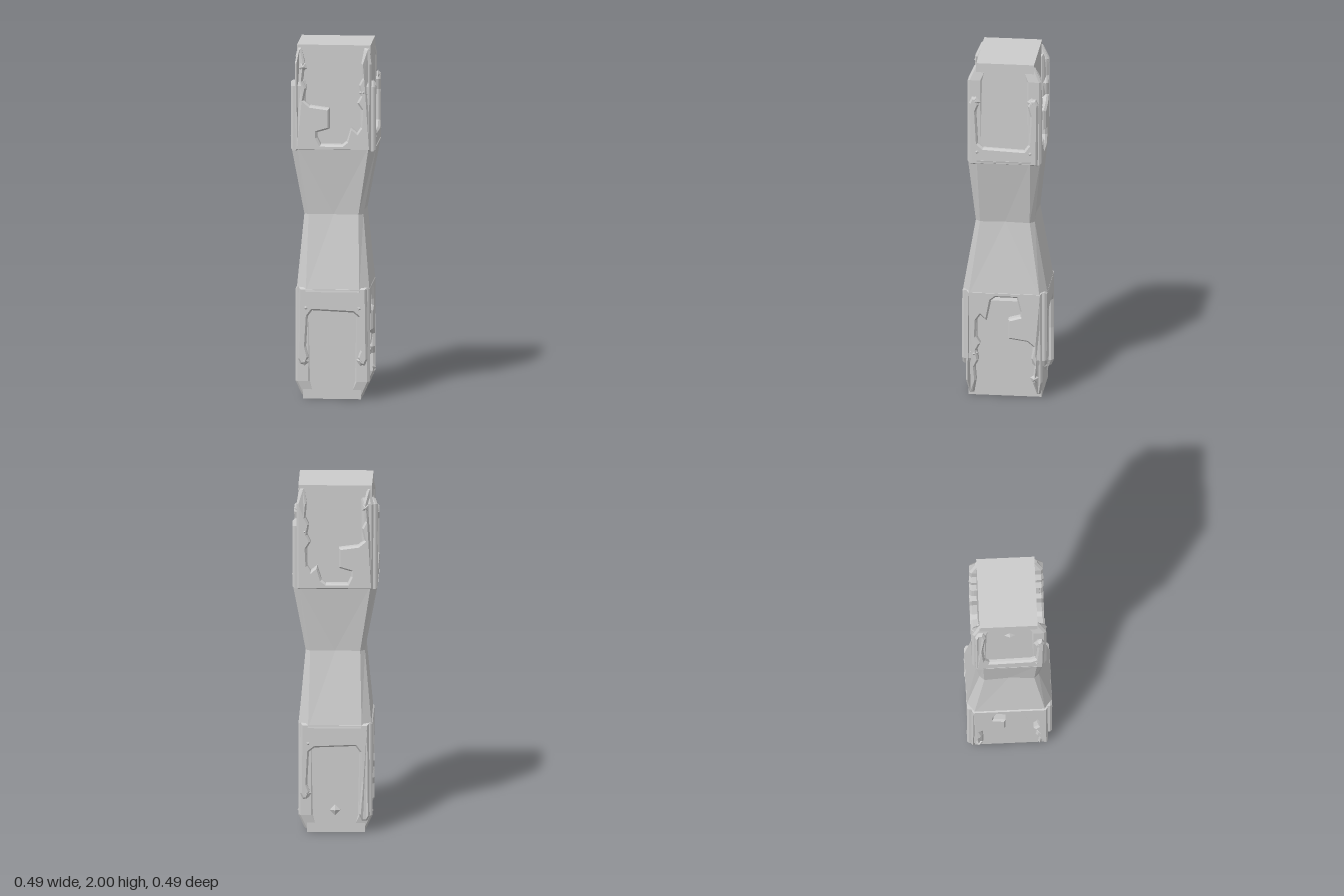
import * as THREE from 'three';

const stone = new THREE.MeshStandardMaterial({ color: 0xcccccc, flatShading: true });

function add(group, geometry, name) {
  const mesh = new THREE.Mesh(geometry, stone);
  mesh.name = name;
  group.add(mesh);
  return mesh;
}

// Half of the waist: a chamfered square that flares up to the shoulder,
// with creases running from the middle of each side to the shoulder corners.
function waistGeometry(waistY, shoulderY) {
  const sides = [
    { n: [0, 1], t: [1, 0], out: 0.205, half: 0.2 },
    { n: [1, 0], t: [0, -1], out: 0.24, half: 0.15 },
    { n: [0, -1], t: [-1, 0], out: 0.205, half: 0.2 },
    { n: [-1, 0], t: [0, 1], out: 0.24, half: 0.15 },
  ].map(({ n, t, out, half }) => {
    const p = (o, s, y) => [n[0] * o + t[0] * s, y, n[1] * o + t[1] * s];
    return {
      w0: p(0.166, -0.14, waistY), c: p(0.158, 0, waistY), w1: p(0.166, 0.14, waistY),
      t0: p(out, -half, shoulderY), t1: p(out, half, shoulderY),
    };
  });
  const centre = [0, shoulderY, 0];
  const v = [];
  sides.forEach((a, i) => {
    const b = sides[(i + 1) % 4];
    v.push(a.c, a.t1, a.t0, a.w0, a.c, a.t0, a.c, a.w1, a.t1); // side facets
    v.push(a.w1, b.w0, b.t0, a.w1, b.t0, a.t1); // corner chamfer
    v.push(centre, a.t0, a.t1, centre, a.t1, b.t0); // shoulder cap
  });
  const g = new THREE.BufferGeometry();
  g.setAttribute('position', new THREE.Float32BufferAttribute(v.flat(), 3));
  g.computeVertexNormals();
  return g;
}

// Raised plate with bevelled edges, its outer face at distance `face`
function plateGeometry(points, face, mirror) {
  const shape = new THREE.Shape(points.map(([x, y]) => new THREE.Vector2(mirror ? -x : x, y)));
  const bevel = 0.012;
  const g = new THREE.ExtrudeGeometry(shape, {
    depth: 0.06, bevelEnabled: true, bevelSegments: 1,
    bevelThickness: bevel, bevelSize: 0.01, bevelOffset: -0.01,
  });
  g.translate(0, 0, face - 0.06 - bevel);
  // Upper ends of the strips lean back towards the core
  const p = g.attributes.position;
  for (let i = 0; i < p.count; i++) {
    const lean = Math.max(0, p.getY(i) - 1.9) * 0.45;
    p.setZ(i, p.getZ(i) - lean);
  }
  g.computeVertexNormals();
  return g;
}

// One end of the pillar with its half of the waist
function createEnd(waistY, shoulderY, coreBottom) {
  const end = new THREE.Group();
  add(end, waistGeometry(waistY, shoulderY), 'waist');

  // Core block, slightly narrowed at its end
  const core = new THREE.BoxGeometry(0.425, 2 - coreBottom, 0.325);
  core.translate(0, (2 + coreBottom) / 2, -0.006);
  const p = core.attributes.position;
  for (let i = 0; i < p.count; i++) {
    if (p.getY(i) > 1.99) p.setX(i, p.getX(i) * 0.97);
  }
  add(end, core, 'core');

  // Frames on two faces: corner strips, floor and a stepped hook
  const low = shoulderY - 0.025;
  const floor = shoulderY + 0.01;
  const frame = [
    [-0.212, low], [0.212, low], [0.215, 1.9], [0.2, 1.985],
    [0.172, 1.985], [0.158, 1.9], [0.165, 1.82], [0.145, 1.78], [0.155, 1.72],
    [0.135, 1.68], [0.16, 1.64], [0.155, 1.54], [0.135, 1.51], [0.1, 1.54],
    [0.075, floor + 0.02], [0.05, floor], [-0.07, floor], [-0.09, 1.48],
    [-0.09, 1.51], [-0.022, 1.53], [-0.022, 1.645], [-0.13, 1.66],
    [-0.165, 1.69], [-0.15, 1.76], [-0.17, 1.8], [-0.16, 1.9], [-0.18, 1.985],
    [-0.2, 1.985], [-0.215, 1.9],
  ];
  add(end, plateGeometry(frame, 0.205, false), 'frontFrame');
  add(end, plateGeometry(frame, 0.21, true), 'backFrame').rotation.y = Math.PI;

  // Lower frames on the other two faces
  for (const s of [1, -1]) {
    const tall = s < 0 ? 1.93 : 1.8;
    const sideFrame = [
      [-0.19, low], [0.19, low], [0.195, 1.77], [0.18, 1.805], [0.155, 1.8],
      [0.14, 1.76], [0.155, 1.72], [0.145, 1.53], [0.115, 1.505],
      [-0.115, 1.495], [-0.14, 1.53], [-0.15, 1.7], [-0.135, tall - 0.04],
      [-0.15, tall], [-0.18, tall], [-0.195, tall - 0.03],
    ];
    const mesh = add(end, plateGeometry(sideFrame, 0.238, s > 0), s > 0 ? 'leftFrame' : 'rightFrame');
    mesh.rotation.y = s * Math.PI / 2;
  }

  // Small faceted chips: face angle, offset along the face, height, distance, radius
  const chips = [
    [-1, 0, 1.87, 0.212, 0.035],
    [1, 0.16, 1.78, 0.23, 0.03], [1, -0.16, 1.78, 0.23, 0.03],
    [1, 0.15, 1.48, 0.233, 0.035], [1, -0.15, 1.48, 0.233, 0.035],
    [-1, 0.16, 1.77, 0.23, 0.03], [-1, 0.15, 1.48, 0.233, 0.035],
    [0, 0.17, 1.74, 0.2, 0.025], [2, -0.17, 1.74, 0.205, 0.025],
    [0, -0.17, 1.88, 0.2, 0.025], [2, 0.17, 1.88, 0.205, 0.025],
  ];
  chips.forEach(([quarter, offset, y, distance, r], i) => {
    const g = new THREE.ConeGeometry(r, 0.016, 4 + (i % 2));
    g.rotateX(Math.PI / 2).rotateZ(i * 0.7);
    g.translate(offset, y, distance + 0.002);
    g.rotateY(quarter * Math.PI / 2);
    add(end, g, 'chip');
  });
  return end;
}

export function createModel() {
  const model = new THREE.Group();
  model.name = 'stonePillar';

  const upper = createEnd(1.04, 1.43, 1.42);
  upper.name = 'upperEnd';

  // Lower end: the same form upside down and turned a quarter,
  // with a narrow gap between its core and the waist
  const lower = createEnd(0.96, 1.39, 1.435);
  lower.name = 'lowerEnd';
  lower.quaternion.setFromAxisAngle(new THREE.Vector3(1, 0, 1).normalize(), Math.PI);
  lower.position.y = 2;

  model.add(upper, lower);
  return model;
}
